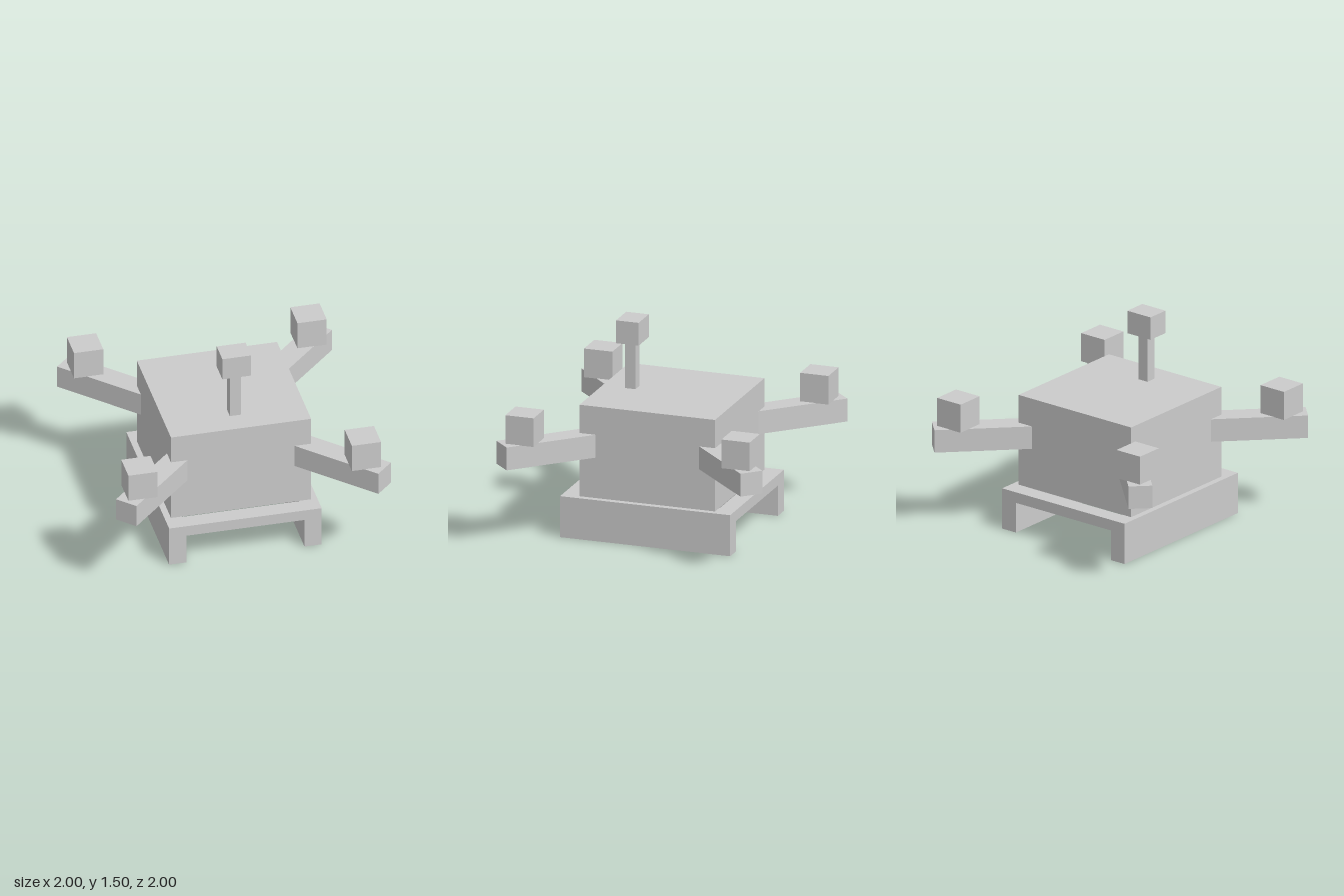
import * as THREE from 'three';

const material = new THREE.MeshStandardMaterial({ color: 0xcccccc, flatShading: true });

// Box given by size and centre
function box(name, w, h, d, x, y, z) {
  const mesh = new THREE.Mesh(new THREE.BoxGeometry(w, h, d), material);
  mesh.name = name;
  mesh.position.set(x, y, z);
  return mesh;
}

export function createModel() {
  const model = new THREE.Group();
  model.name = 'drone';

  // Main body
  model.add(box('body', 1.02, 0.68, 1.02, 0, 0.645, 0));

  // Landing frame: two full-length skids joined by a crossbar front and back
  const frame = new THREE.Group();
  frame.name = 'landingFrame';
  for (const s of [-1, 1]) {
    frame.add(box('skid', 0.125, 0.305, 1.28, s * 0.4925, 0.1525, 0));
    frame.add(box('crossbar', 0.86, 0.08, 0.125, 0, 0.265, s * 0.5775));
  }
  model.add(frame);

  // Diagonal arms, each carrying an axis-aligned motor block
  const inner = 0.5, outer = 1.329, mid = (inner + outer) / 2 * Math.SQRT1_2;
  for (const sx of [-1, 1]) {
    for (const sz of [-1, 1]) {
      const arm = box('arm', outer - inner, 0.17, 0.17, sx * mid, 0.69, sz * mid);
      arm.rotation.y = -sx * sz * Math.PI / 4;
      model.add(arm);
      model.add(box('motor', 0.213, 0.213, 0.213, sx * 0.813, 0.88, sz * 0.813));
    }
  }

  // Mast with sensor head near the front
  model.add(box('mast', 0.08, 0.36, 0.08, 0, 1.16, 0.3));
  model.add(box('sensorHead', 0.21, 0.17, 0.17, 0, 1.418, 0.298));

  return model;
}
